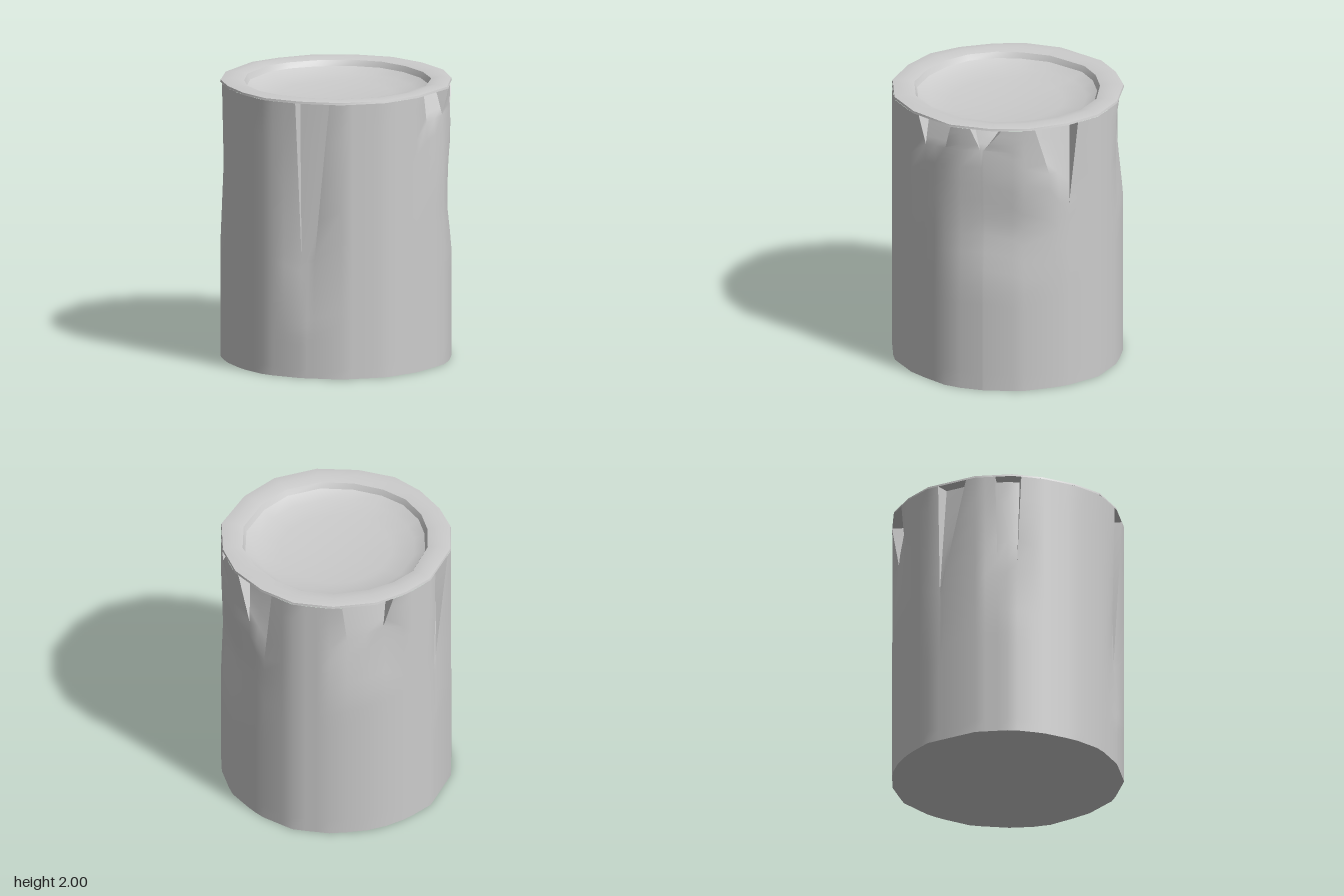
import * as THREE from 'three';
import { toCreasedNormals, mergeVertices } from 'three/addons/utils/BufferGeometryUtils.js';

const TOP = 1.975;
const RECESS = 0.1;
const { lerp, degToRad, radToDeg } = THREE.MathUtils;

// Notches in the wall. Angles in degrees round from the front towards +x:
// top edges, bottom edges, bottom heights, and how far the wall sinks in there.
const NOTCHES = [
  { top: [42, 64], low: [46, 60], y: [1.77, 1.8], sink: 0.015 },
  { top: [74, 90], low: [79, 81], y: [1.82, 1.82], sink: 0.01 },
  { top: [107, 131], low: [115, 126], y: [1.62, 1.38], sink: 0.01 },
  { top: [168, 195], low: [171, 191], y: [1.65, 1.72], sink: 0.05 },
  { top: [225, 241], low: [225.5, 228], y: [1.15, 1.27], sink: 0.01 },
  { top: [256, 269], low: [257, 267], y: [1.33, 1.32], sink: 0.02 },
  { top: [331, 348.5], low: [333.6, 340.5], y: [0.82, 0.85], sink: 0.04 },
];

// Corners of the uneven round outline, as [x, z]
const OUTLINE = [
  [0.24, 0.79], [0.5, 0.64], [0.74, 0.37], [0.81, 0.07], [0.79, -0.2], [0.67, -0.46],
  [0.49, -0.67], [0.23, -0.79], [-0.08, -0.82], [-0.32, -0.75], [-0.52, -0.64], [-0.75, -0.34],
  [-0.82, -0.08], [-0.8, 0.14], [-0.72, 0.38], [-0.59, 0.58], [-0.36, 0.73], [-0.08, 0.82],
].map(([x, z]) => ({ x, z, angle: (radToDeg(Math.atan2(x, z)) + 360) % 360 }));

// Distance from the axis to the outline at an angle
function outlineRadius(angle) {
  const a = (angle + 360) % 360;
  const found = OUTLINE.findIndex((p) => p.angle > a);
  const i = found < 0 ? 0 : found;
  const q = OUTLINE[i];
  const p = OUTLINE[(i + OUTLINE.length - 1) % OUTLINE.length];
  const dx = Math.sin(degToRad(a));
  const dz = Math.cos(degToRad(a));
  return (p.x * q.z - p.z * q.x) / (dx * (q.z - p.z) - dz * (q.x - p.x));
}

// Wall columns: even ones between notches, outer and inner ones at notch edges
function wallColumns() {
  const columns = [];
  let last = NOTCHES[NOTCHES.length - 1];
  let from = last.top[1] - 360;
  for (const n of NOTCHES) {
    const gap = n.top[0] - from;
    const count = Math.round(gap / 6);
    for (let i = 1; i < count; i++) {
      const a = from + (gap * i) / count;
      columns.push({ top: a, low: a, y: lerp(last.y[1], n.y[0], i / count), sink: 0, recess: 0 });
    }
    const at = (t, recess) => columns.push({
      top: lerp(...n.top, t), low: lerp(...n.low, t), y: lerp(...n.y, t), sink: n.sink, recess,
    });
    at(0, 0);
    for (const t of [0, 0.5, 1]) at(t, RECESS);
    at(1, 0);
    last = n;
    from = n.top[1];
  }
  return columns;
}

// Wall below the notches (t from the foot to the notch bottom), with one dent on the side
const lowerWall = (t) => (c) => {
  const y = t * c.y;
  const dent = 0.055 * Math.exp(-(((c.low - 91) / 19) ** 2)) * Math.max(0, 1 - Math.abs(y - 1.2) / 0.4);
  const sink = c.sink * Math.max(0, 1 - (c.y - y) / 0.5);
  return [outlineRadius(c.low) - dent - sink, c.low, y];
};

// Wall beside and inside the notches (t from the notch bottom to the rim)
const upperWall = (t) => (c) => {
  const [low, , y] = lowerWall(1)(c);
  const angle = lerp(c.low, c.top, t);
  const inset = lerp(outlineRadius(c.low) - low, c.recess, t);
  return [outlineRadius(angle) - inset, angle, lerp(y, TOP, t)];
};

// Closed surface round all columns; each row gives [radius, angle, height]
function loft(columns, rows) {
  const pos = [];
  const index = [];
  const w = columns.length;
  rows.forEach((row, j) => columns.forEach((c, i) => {
    const [r, angle, y] = row(c);
    const a = degToRad(angle);
    pos.push(r * Math.sin(a), y, r * Math.cos(a));
    if (j) {
      const k = (i + 1) % w;
      const lo = (j - 1) * w;
      const hi = j * w;
      index.push(lo + i, lo + k, hi + k, lo + i, hi + k, hi + i);
    }
  }));
  const g = new THREE.BufferGeometry();
  g.setAttribute('position', new THREE.Float32BufferAttribute(pos, 3));
  g.setIndex(index);
  return g;
}

export function createModel() {
  const group = new THREE.Group();
  const stone = new THREE.MeshStandardMaterial({ color: 0xcccccc });
  stone.name = 'plain grey';
  const add = (name, geometry) => {
    const mesh = new THREE.Mesh(geometry, stone);
    mesh.name = name;
    group.add(mesh);
  };

  // Outer wall
  const columns = wallColumns();
  const rows = [];
  for (let i = 0; i <= 14; i++) rows.push(lowerWall(i / 14));
  for (let i = 1; i <= 4; i++) rows.push(upperWall(i / 4));
  add('outerWall', toCreasedNormals(loft(columns, rows), 0.7));

  // Flat underside
  add('base', toCreasedNormals(loft(columns, [(c) => [0, c.low, 0], lowerWall(0)]), 0.5));

  // Rim: a thin cap reaching over the notches, with an uneven inner lip
  const ring = (r, y, wobble = 0) => (c) => [
    r + wobble * Math.sin(degToRad(5 * c.angle + 60)), c.angle, y,
  ];
  const outer = (inset, y) => (c) => [outlineRadius(c.angle) - inset, c.angle, y];
  const lip = ring(0.64, 1.945, 0.008);
  add('rim', toCreasedNormals(loft(OUTLINE, [
    ring(0.66, TOP), outer(0.002, TOP), outer(0.006, 1.99),
    ring(0.735, 2, 0.006), ring(0.66, 1.985, 0.008), lip,
  ]), 0.8));

  // Shallow dished top inside the rim
  const dish = mergeVertices(loft(OUTLINE, [
    lip, ring(0.56, 1.905), ring(0.4, 1.885), ring(0.2, 1.875), ring(0, 1.87),
  ]));
  dish.computeVertexNormals();
  add('dishedTop', dish);

  return group;
}
